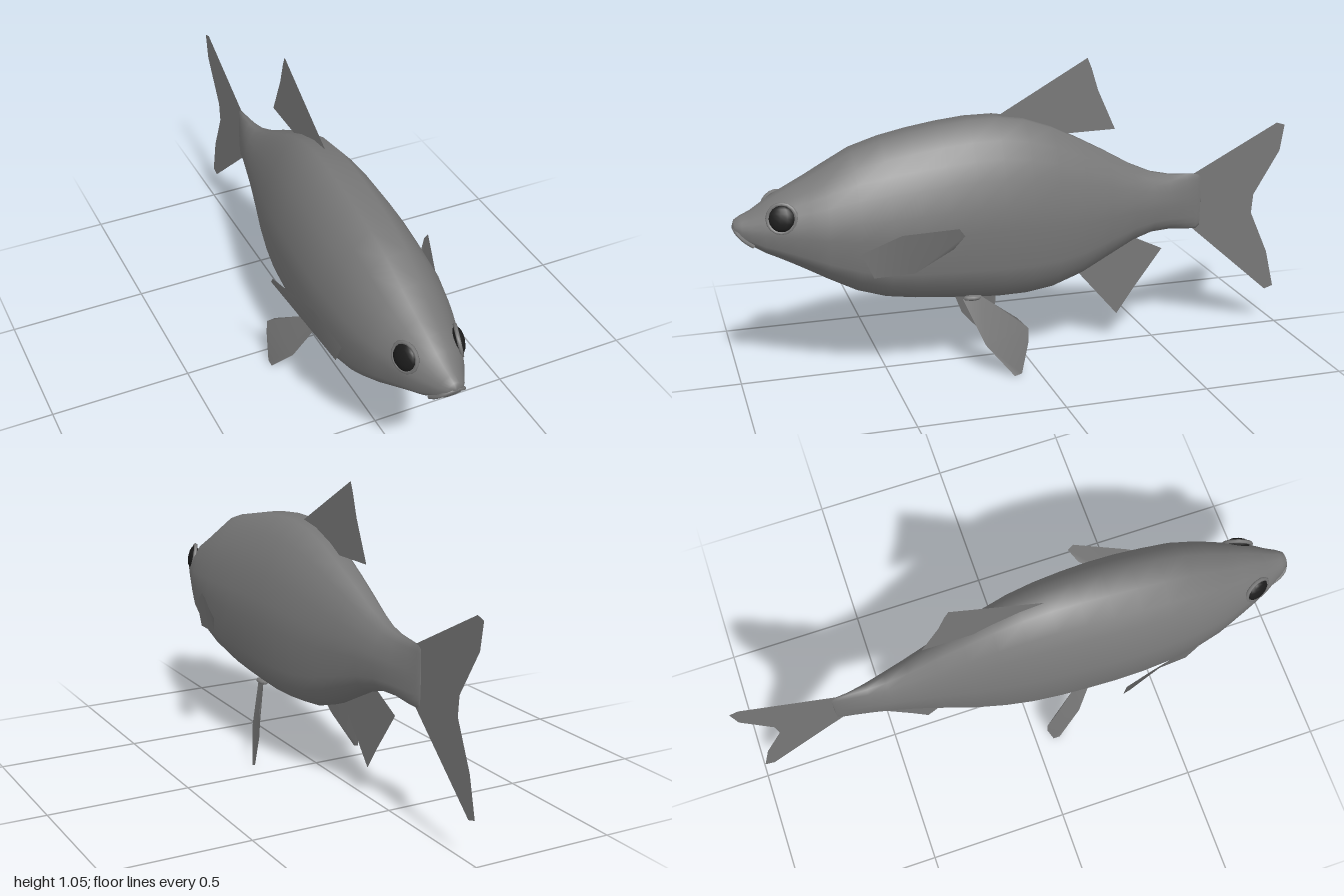
import * as THREE from 'three';

const skin = new THREE.MeshStandardMaterial({ color: 0x777777 });
const finSkin = new THREE.MeshStandardMaterial({ color: 0x777777, side: THREE.DoubleSide });
const eyeDark = new THREE.MeshStandardMaterial({ color: 0x1c1c1c });

// Body stations from snout to tail: z, top, bottom, half width
const STATIONS = [
  [0.992, 0.585, 0.54, 0.028], [0.97, 0.598, 0.515, 0.046], [0.94, 0.61, 0.497, 0.062],
  [0.9, 0.635, 0.472, 0.086], [0.85, 0.665, 0.448, 0.108], [0.8, 0.69, 0.422, 0.127],
  [0.75, 0.715, 0.395, 0.145], [0.7, 0.742, 0.367, 0.162], [0.6, 0.795, 0.315, 0.182],
  [0.5, 0.826, 0.283, 0.19], [0.4, 0.847, 0.268, 0.195], [0.3, 0.863, 0.258, 0.194],
  [0.2, 0.874, 0.248, 0.188], [0.1, 0.875, 0.24, 0.18], [0, 0.86, 0.24, 0.168],
  [-0.1, 0.825, 0.252, 0.149], [-0.2, 0.775, 0.285, 0.127], [-0.3, 0.722, 0.335, 0.102],
  [-0.4, 0.665, 0.385, 0.078], [-0.48, 0.63, 0.41, 0.06], [-0.55, 0.615, 0.413, 0.042],
  [-0.62, 0.61, 0.405, 0.021], [-0.66, 0.607, 0.403, 0.009], [-0.675, 0.595, 0.415, 0.003],
];

// Half cross-section, top to bottom: width fraction, height fraction
const HALF = [[0.21, 1], [0.52, 0.9], [0.7, 0.81], [0.85, 0.71], [0.96, 0.57], [1, 0.44],
  [0.94, 0.22], [0.81, 0.125], [0.6, 0.045], [0.27, 0]];
const RING = [...HALF, ...HALF.map(([w, t]) => [-w, t]).reverse()];

function bodyGeometry() {
  const n = RING.length, pos = [], index = [];
  for (const [z, top, bottom, width] of STATIONS) {
    for (const [w, t] of RING) pos.push(w * width, bottom + t * (top - bottom), z);
  }
  const last = (STATIONS.length - 1) * n, nose = STATIONS.length * n;
  pos.push(0, 0.563, 1, 0, 0.505, -0.677);
  for (let j = 0; j < n; j++) {
    const k = (j + 1) % n;
    for (let r = 0; r < last; r += n) {
      index.push(r + j, r + k, r + n + j, r + k, r + n + k, r + n + j);
    }
    index.push(nose, k, j, nose + 1, last + j, last + k);
  }
  const g = new THREE.BufferGeometry();
  g.setAttribute('position', new THREE.Float32BufferAttribute(pos, 3));
  g.setIndex(index);
  g.computeVertexNormals();
  return g;
}

// Thin fin from an outline of [z, y, x] corners
function fin(name, outline, side = 1) {
  const flat = outline.map(([z, y]) => new THREE.Vector2(z, y));
  const g = new THREE.BufferGeometry();
  g.setAttribute('position', new THREE.Float32BufferAttribute(
    outline.flatMap(([z, y, x = 0]) => [x * side, y, z]), 3));
  g.setIndex(THREE.ShapeUtils.triangulateShape(flat, []).flat());
  g.computeVertexNormals();
  const mesh = new THREE.Mesh(g, finSkin);
  mesh.name = name;
  return mesh;
}

export function createModel() {
  const fish = new THREE.Group();
  fish.name = 'fish';
  const add = (parent, name, geometry, material) => {
    const mesh = new THREE.Mesh(geometry, material);
    mesh.name = name;
    parent.add(mesh);
    return mesh;
  };

  add(fish, 'body', bodyGeometry(), skin);

  // Arched, downturned upper lip
  const lip = new THREE.CatmullRomCurve3([
    [-0.053, 0.503, 0.935], [-0.046, 0.525, 0.965], [-0.033, 0.545, 0.984], [0, 0.56, 0.993],
    [0.033, 0.545, 0.984], [0.046, 0.525, 0.965], [0.053, 0.503, 0.935],
  ].map((p) => new THREE.Vector3(...p)));
  add(fish, 'upperLip', new THREE.TubeGeometry(lip, 20, 0.007, 6), skin);

  // Fins on the centre line
  fish.add(fin('dorsalFin', [[0.09, 0.872], [-0.235, 1.055], [-0.25, 1.02], [-0.275, 0.94],
    [-0.34, 0.797], [-0.13, 0.793], [0, 0.83]]));
  fish.add(fin('analFin', [[-0.19, 0.3], [-0.36, 0.103], [-0.42, 0.19], [-0.53, 0.337],
    [-0.41, 0.395], [-0.3, 0.36]]));
  fish.add(fin('tailFin', [[-0.645, 0.608], [-0.968, 0.775], [-1, 0.765], [-0.985, 0.67],
    [-0.888, 0.51], [-0.882, 0.44], [-0.952, 0.283], [-0.985, 0.145], [-0.952, 0.135],
    [-0.645, 0.405]]));

  // Paired fins and eyes
  for (const [label, side] of [['left', 1], ['right', -1]]) {
    fish.add(fin(label + 'PectoralFin', [[0.605, 0.487, 0.186], [0.565, 0.4, 0.186],
      [0.43, 0.407, 0.197], [0.31, 0.497, 0.25], [0.28, 0.55, 0.285], [0.3, 0.577, 0.287],
      [0.475, 0.55, 0.222]], side));
    fish.add(fin(label + 'PelvicFin', [[0.245, 0.262, 0.105], [0.18, 0.107, 0.165],
      [0.09, 0, 0.21], [0.065, 0.008, 0.212], [0.04, 0.12, 0.206], [0.04, 0.17, 0.203],
      [0.075, 0.205, 0.187], [0.18, 0.27, 0.118]], side));

    const root = add(fish, label + 'PelvicFinRoot', new THREE.SphereGeometry(1, 10, 6), skin);
    root.scale.set(0.018, 0.01, 0.035);
    root.position.set(0.108 * side, 0.266, 0.21);

    // Eye and its socket rim, facing outward, a little forward and up
    const socket = new THREE.Group();
    socket.name = label + 'EyeSocket';
    socket.position.set(0.092 * side, 0.603, 0.845);
    socket.rotation.set(0, -0.35 * side, 0.22 * side, 'YXZ');
    fish.add(socket);
    add(socket, label + 'Eye', new THREE.SphereGeometry(1, 12, 8), eyeDark)
      .scale.set(0.02, 0.045, 0.045);
    add(socket, label + 'EyeRim', new THREE.TorusGeometry(0.048, 0.007, 6, 16), skin)
      .rotation.y = Math.PI / 2;
  }
  return fish;
}
